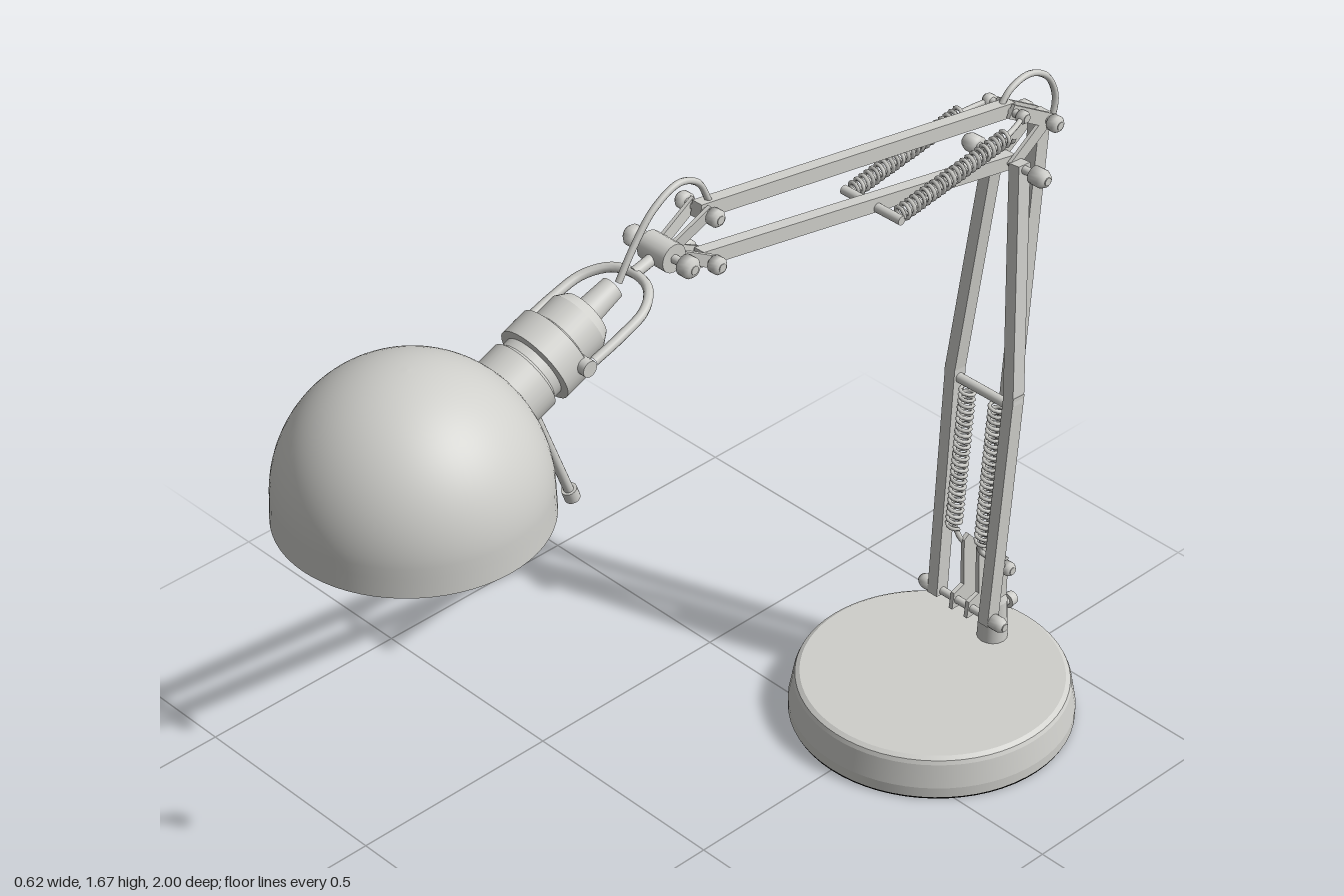
import * as THREE from 'three';

const V = (x, y, z) => new THREE.Vector3(x, y, z);
const UP = V(0, 1, 0);

export function createModel() {
  const root = new THREE.Group();
  const metal = new THREE.MeshStandardMaterial({ color: 0xcfcfcb });
  metal.name = 'pale grey metal';
  const inside = new THREE.MeshStandardMaterial({ color: 0xcfcfcb, side: THREE.DoubleSide });
  inside.name = 'pale grey shade';
  const rubber = new THREE.MeshStandardMaterial({ color: 0x060606 });
  rubber.name = 'black underside';

  const add = (name, geo, mat = metal) => {
    const m = new THREE.Mesh(geo, mat);
    m.name = name;
    root.add(m);
    return m;
  };
  // Places a y-aligned mesh between two points
  const span = (mesh, a, b) => {
    mesh.position.copy(a).lerp(b, 0.5);
    mesh.quaternion.setFromUnitVectors(UP, b.clone().sub(a).normalize());
    return mesh;
  };
  const bar = (name, a, b, w = 0.03, d = 0.034) =>
    span(add(name, new THREE.BoxGeometry(w, a.distanceTo(b) + 0.02, d)), a, b);
  const rod = (name, a, b, r, r2 = r) =>
    span(add(name, new THREE.CylinderGeometry(r2, r, a.distanceTo(b), 16)), a, b);
  const tube = (name, pts, r) =>
    add(name, new THREE.TubeGeometry(new THREE.CatmullRomCurve3(pts), 40, r, 8));
  // Cross pin with a rounded nut at either end
  const pin = (name, y, z, half, r = 0.018, nut = 0.03) => {
    rod(name, V(-half, y, z), V(half, y, z), 0.009);
    for (const s of [-1, 1]) {
      const pts = [[0, 0], [r, 0], [r, nut * 0.65], [r * 0.7, nut * 0.92], [0, nut]]
        .map(p => new THREE.Vector2(...p));
      const m = add(name + 'Nut', new THREE.LatheGeometry(pts, 16));
      m.position.set(s * (half - nut), y, z);
      m.rotation.z = -s * Math.PI / 2;
    }
  };
  // Coil spring from a to b
  const spring = (name, a, b, r, turns) => {
    const axis = b.clone().sub(a);
    const q = new THREE.Quaternion().setFromUnitVectors(UP, axis.clone().normalize());
    const len = axis.length();
    const curve = new THREE.Curve();
    curve.getPoint = (t, out = V(0, 0, 0)) => {
      const w = t * turns * Math.PI * 2;
      return out.set(Math.cos(w) * r, t * len, Math.sin(w) * r).applyQuaternion(q).add(a);
    };
    add(name, new THREE.TubeGeometry(curve, turns * 10, 0.0045, 5));
  };
  // Plate cut in the side plane from [z, y] points
  const plate = (name, pts, x, t) => {
    const g = new THREE.ExtrudeGeometry(
      new THREE.Shape(pts.map(p => new THREE.Vector2(...p))), { depth: t, bevelEnabled: false });
    g.rotateY(-Math.PI / 2).translate(x + t / 2, 0, 0);
    add(name, g);
  };

  // Weighted base
  const baseZ = -0.687;
  const base = [[0, 0.006], [0.312, 0.006], [0.312, 0.03], [0.302, 0.085], [0.298, 0.094],
    [0.288, 0.1], [0, 0.1]];
  // Duplicated corners keep the rim edges crisp
  const prof = base.flatMap(p => [p, p]).map(p => new THREE.Vector2(...p));
  add('base', new THREE.LatheGeometry(prof, 64)).position.z = baseZ;
  const pad = add('basePad', new THREE.CylinderGeometry(0.311, 0.309, 0.008, 64), rubber);
  pad.position.set(0, 0.004, baseZ);

  // Swivel post with clamp screw
  rod('post', V(0, 0.1, -0.875), V(0, 0.2, -0.875), 0.034, 0.03);
  rod('postNeck', V(0, 0.2, -0.875), V(0, 0.23, -0.875), 0.03, 0.02);
  rod('clampScrew', V(0, 0.17, -0.89), V(0, 0.17, -0.925), 0.009);
  rod('clampKnob', V(0, 0.17, -0.918), V(0, 0.17, -0.938), 0.018, 0.015);

  // Pivots, from foot to head
  const foot = [0.24, -0.775], heel = [0.31, -0.865];
  const low = [1.325, -0.848], back = [1.39, -0.943], high = [1.45, -0.84];
  const headTop = [1.585, 0.01], headLow = [1.477, 0.005], tip = [1.535, 0.11];
  const at = (p, x = 0) => V(x, p[0], p[1]);

  for (const s of [-1, 1]) {
    // Foot bracket
    plate('footBracket', [[-0.76, 0.22], [-0.885, 0.22], [-0.885, 0.32], [-0.86, 0.335],
      [-0.805, 0.4], [-0.79, 0.39], [-0.795, 0.27], [-0.765, 0.26]], s * 0.022, 0.01);
    // Bowed front arm pair
    const mid = V(s * 0.083, 0.8, -0.812);
    bar('lowerFrontArm', at(foot, s * 0.075), mid, 0.028);
    bar('lowerFrontArm', mid, at(low, s * 0.036), 0.028);
    // Elbow and head forks
    for (const end of [low, high]) bar('elbowFork', at(back, s * 0.02), at(end, s * 0.02), 0.008, 0.03);
    for (const end of [headTop, headLow]) bar('headFork', at(tip, s * 0.014), at(end, s * 0.022), 0.008, 0.026);
    // Lower springs and hooks
    spring('lowerSpring', V(s * 0.042, 0.42, -0.782), V(s * 0.042, 0.77, -0.808), 0.0155, 24);
    tube('lowerSpringHook', [V(s * 0.042, 0.425, -0.782), V(s * 0.028, 0.39, -0.79),
      V(s * 0.034, 0.34, -0.835), at(heel, s * 0.044)], 0.006);
    // Upper springs and hooks
    spring('upperSpring', V(s * 0.063, 1.39, -0.47), V(s * 0.063, 1.44, -0.78), 0.0155, 22);
    tube('upperSpringHook', [V(s * 0.063, 1.44, -0.775), V(s * 0.055, 1.445, -0.81),
      at(high, s * 0.045)], 0.006);
  }
  rod('lowerSpringBar', V(-0.07, 0.778, -0.81), V(0.07, 0.778, -0.81), 0.011);
  rod('upperSpringBar', V(-0.08, 1.388, -0.46), V(0.08, 1.388, -0.46), 0.01);

  // Single arms
  bar('lowerBackArm', at(heel), at(back));
  bar('upperTopArm', at(headTop), at(high), 0.026, 0.032);
  bar('upperBottomArm', at(headLow), at(low), 0.026, 0.032);

  // Pivot pins
  pin('footPin', ...foot, 0.125, 0.017, 0.04);
  pin('heelPin', ...heel, 0.06, 0.016, 0.025);
  pin('lowElbowPin', ...low, 0.115, 0.02, 0.04);
  pin('backElbowPin', ...back, 0.058, 0.018, 0.025);
  pin('highElbowPin', ...high, 0.058, 0.014, 0.02);
  pin('headTopPin', ...headTop, 0.058, 0.018, 0.025);
  pin('headLowPin', ...headLow, 0.058, 0.018, 0.025);
  pin('tiltPin', ...tip, 0.092, 0.022, 0.03);

  // Looping cables
  tube('headCable', [V(0, 1.515, 0.22), V(0, 1.57, 0.185), V(0, 1.635, 0.13), V(0, 1.665, 0.065),
    V(0, 1.645, 0.015), V(0, 1.59, -0.015)], 0.007);
  tube('elbowCable', [V(0, 1.45, -0.815), V(0, 1.49, -0.85), V(0, 1.503, -0.905), V(0, 1.475, -0.96),
    V(0, 1.415, -0.988), V(0, 1.365, -0.975), V(0, 1.36, -0.945)], 0.007);

  // Yoke holding the lamp head
  const yoke = [[-0.093, 0.37], [-0.093, 0.3], [-0.085, 0.235], [-0.05, 0.192], [0, 0.18],
    [0.05, 0.192], [0.085, 0.235], [0.093, 0.3], [0.093, 0.37]];
  tube('yoke', yoke.map(([x, z]) => V(x, 1.578 - 0.335 * z, z)), 0.01);
  rod('yokeStem', V(0, 1.518, 0.18), at(tip), 0.012);
  rod('yokePin', V(-0.1, 1.447, 0.385), V(0.1, 1.447, 0.385), 0.017);
  rod('tiltBlock', V(-0.035, ...tip), V(0.035, ...tip), 0.03);

  // Lamp socket, stepped along a tilted axis
  const socket = [[0, -0.06], [0.077, -0.06], [0.077, 0.035], [0.068, 0.042], [0.068, 0.06],
    [0.084, 0.062], [0.084, 0.12], [0.066, 0.128], [0.066, 0.18], [0.052, 0.202],
    [0.028, 0.208], [0.024, 0.275], [0, 0.275]];
  const lathe = add('socket', new THREE.LatheGeometry(
    socket.flatMap(p => [p, p]).map(p => new THREE.Vector2(...p)), 40));
  const axis = V(0, Math.sin(0.39), -Math.cos(0.39));
  lathe.position.set(0, 1.407, 0.49);
  lathe.quaternion.setFromUnitVectors(UP, axis);
  rod('switchKnob', V(0, 1.42, 0.385), V(0, 1.355, 0.365), 0.024, 0.02);

  // Aiming handle
  rod('handle', V(0, 1.36, 0.452), V(0, 1.1, 0.352), 0.01);
  rod('handleTip', V(0, 1.11, 0.355), V(0, 1.085, 0.346), 0.016);

  // Domed shade with a thin wall
  const shade = [];
  const dome = (r, h, y0, i) => {
    const a = i / 24 * Math.PI / 2;
    return new THREE.Vector2(Math.max(r * Math.cos(a), 0), y0 + h * Math.sin(a));
  };
  shade.push(new THREE.Vector2(0.264, 0), new THREE.Vector2(0.262, 0.04));
  for (let i = 1; i <= 24; i++) shade.push(dome(0.262, 0.268, 0.045, i));
  const liner = [new THREE.Vector2(0.264, 0), new THREE.Vector2(0.255, 0)];
  for (let i = 0; i <= 24; i++) liner.push(dome(0.254, 0.26, 0.045, i));
  add('shade', new THREE.LatheGeometry(shade, 64), inside).position.set(0, 1.25, 0.736);
  add('shadeLiner', new THREE.LatheGeometry(liner, 64), inside).position.set(0, 1.25, 0.736);

  return root;
}
